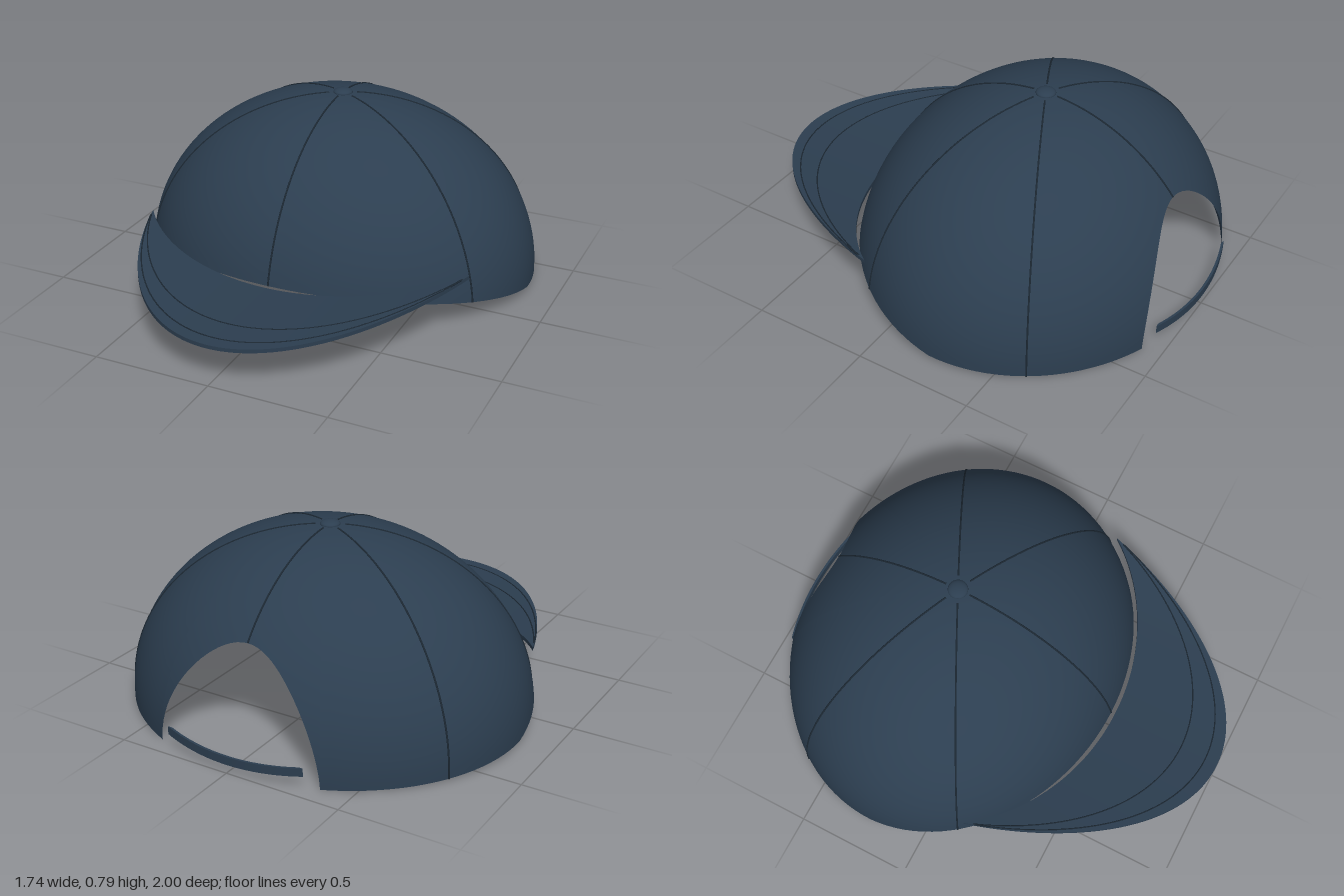
import * as THREE from 'three';
import { toCreasedNormals } from 'three/addons/utils/BufferGeometryUtils.js';

const RX = 0.87, RZ = 0.75, RY = 0.75, CY = 0.02, CZ = -0.24;
const OPEN = 0.44;            // half angle of the rear opening
const BRIM = 1.01;            // half angle of the brim

const fabric = new THREE.MeshStandardMaterial({ color: 0x2c3e50, side: THREE.DoubleSide });
const thread = new THREE.MeshStandardMaterial({ color: 0x1c2833 });

// Point on the dome: phi runs around from the front, lat up from the rim plane
function dome(phi, lat) {
  const c = Math.cos(lat);
  return new THREE.Vector3(RX * Math.sin(phi) * c, CY + RY * Math.sin(lat), CZ + RZ * Math.cos(phi) * c);
}

// Latitude of the lower edge: rises to the brim, drops a little behind, arches over the opening
function rim(phi) {
  let lat = 0;
  for (let i = 0; i < 12; i++) {
    const d = dome(phi, lat).z - CZ;
    const y = d > 0 ? CY + 0.22 * d : CY + 0.029 * d;
    lat = Math.asin((y - CY) / RY);
  }
  const t = Math.abs(phi - Math.PI) / OPEN;
  if (t < 1) lat += (Math.asin(0.46 / RY) - lat) * Math.pow(1 - t * t, 0.6);
  return lat;
}

// Surface through a grid of points
function grid(nu, nv, fn) {
  const pos = [], idx = [];
  for (let u = 0; u <= nu; u++) for (let v = 0; v <= nv; v++) pos.push(...fn(u, v).toArray());
  for (let u = 0; u < nu; u++) for (let v = 0; v < nv; v++) {
    const a = u * (nv + 1) + v, b = a + nv + 1;
    idx.push(a, a + 1, b, b, a + 1, b + 1);
  }
  const g = new THREE.BufferGeometry();
  g.setAttribute('position', new THREE.Float32BufferAttribute(pos, 3));
  g.setIndex(idx);
  g.computeVertexNormals();
  return g;
}

// Point on the brim: theta across, s from the inner edge to the outer edge
function brimPoint(theta, s, drop = 0) {
  const x = RX * Math.sin(theta);
  const reach = 0.49 * Math.pow(Math.max(0, Math.cos(theta / BRIM * Math.PI / 2)), 0.92);
  return new THREE.Vector3(x, 0.181 + 0.052 * (x / 0.735) ** 2 - drop, CZ + RZ * Math.cos(theta) + reach * s);
}

function tube(points, radius) {
  return new THREE.TubeGeometry(new THREE.CatmullRomCurve3(points), 64, radius, 6);
}

export function createModel() {
  const model = new THREE.Group();
  const add = (name, geometry, material = fabric) => {
    const mesh = new THREE.Mesh(geometry, material);
    mesh.name = name;
    model.add(mesh);
    return mesh;
  };

  // Crown, with columns packed towards the sides of the opening
  const phis = [];
  for (let i = 0; i < 50; i++) phis.push((Math.PI - OPEN) * i / 50);
  for (let i = 0; i <= 40; i++) phis.push(Math.PI + OPEN * Math.sin((i / 40 - 0.5) * Math.PI));
  for (let i = 1; i <= 50; i++) phis.push(Math.PI + OPEN + (Math.PI - OPEN) * i / 50);
  const rims = phis.map(rim);
  add('crown', grid(phis.length - 1, 32, (u, v) =>
    dome(phis[u], Math.PI / 2 + (rims[u] - Math.PI / 2) * v / 32)));

  // Six panel seams
  for (let k = 0; k < 6; k++) {
    const phi = k * Math.PI / 3, low = rim(phi), pts = [];
    for (let i = 0; i <= 24; i++) pts.push(dome(phi, low + (1.5 - low) * i / 24));
    add('panelSeam', tube(pts, 0.004), thread);
  }

  // Top button
  const button = add('topButton', new THREE.SphereGeometry(0.042, 24, 12));
  button.scale.y = 0.4;
  button.position.set(0, CY + RY, CZ);

  // Brim: closed thin section swept across
  const n = 12;
  add('brim', toCreasedNormals(grid(64, 2 * n + 2, (u, v) => {
    const theta = (u / 32 - 1) * BRIM;
    if (v === 2 * n + 2) return brimPoint(theta, 0);
    return v <= n ? brimPoint(theta, v / n) : brimPoint(theta, (2 * n + 1 - v) / n, 0.016);
  }), 0.7));

  // Brim stitching
  for (const s of [0.65, 0.885]) {
    const pts = [];
    for (let i = 0; i <= 40; i++) pts.push(brimPoint((i / 20 - 1) * BRIM * 0.97, s));
    add('brimStitching', tube(pts, 0.003), thread);
  }

  // Rear strap: upright band, pinched shut at both ends
  const section = [[0, 0], [0, 1], [1, 1], [1, 0], [0, 0]];
  add('rearStrap', toCreasedNormals(grid(32, 4, (u, v) => {
    const x = 0.315 * (u / 16 - 1);
    const thick = u === 0 || u === 32 ? 0 : 0.01;
    const z = CZ - 0.76 * Math.sqrt(1 - (x / RX) ** 2) + section[v][0] * thick;
    return new THREE.Vector3(x, 0.037 + 0.018 * (x / 0.315) ** 2 + 0.035 * section[v][1], z);
  }), 0.7));

  return model;
}
